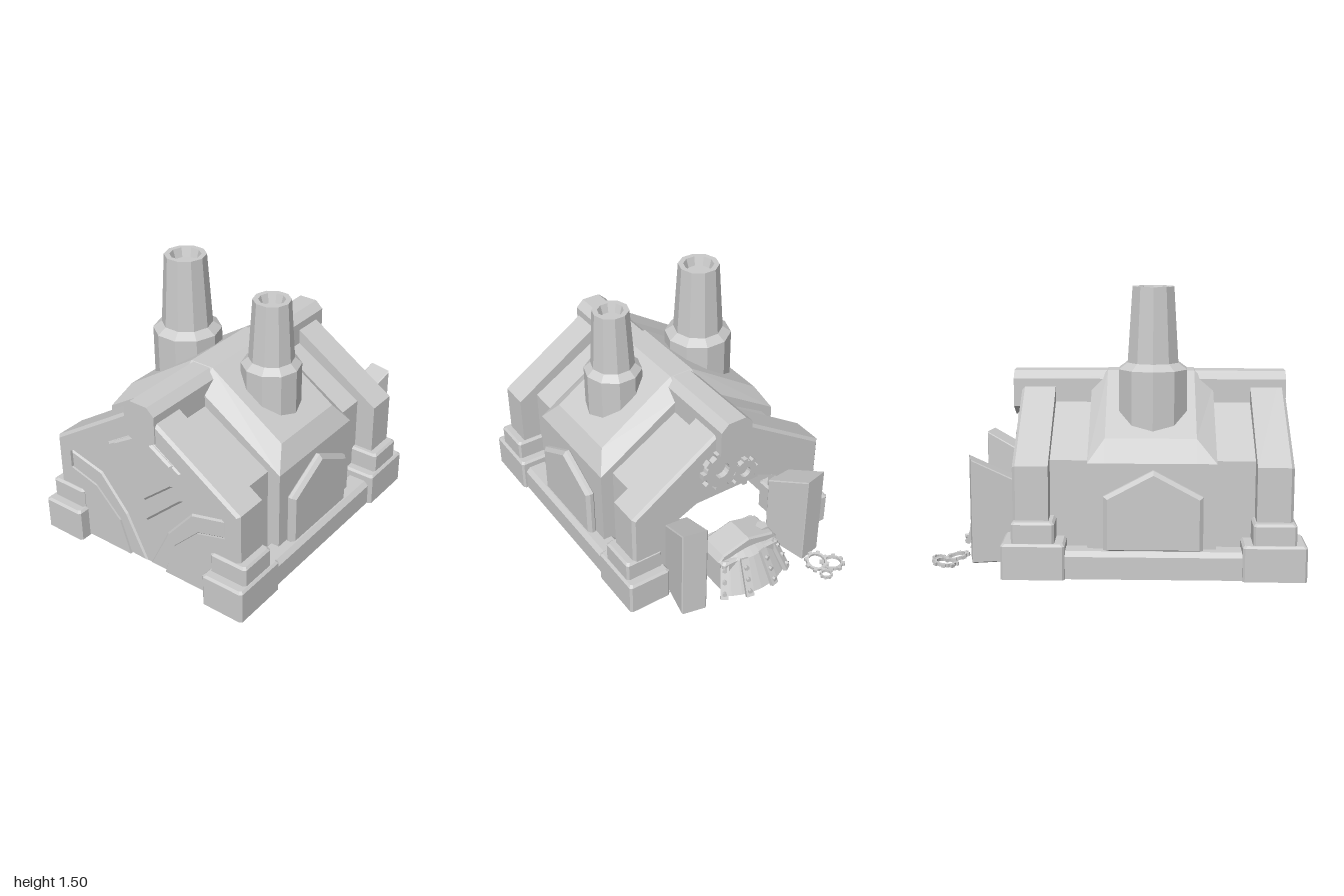
import * as THREE from 'three';

export function createModel() {
  const root = new THREE.Group();
  const mat = new THREE.MeshStandardMaterial({ color: 0xcccccc, flatShading: true, side: THREE.DoubleSide });

  const add = (name, geo, x = 0, y = 0, z = 0, parent = root) => {
    const m = new THREE.Mesh(geo, mat);
    m.name = name;
    m.position.set(x, y, z);
    parent.add(m);
    return m;
  };
  const vecs = pts => pts.map(p => new THREE.Vector2(p[0], p[1]));
  // right half of a symmetric outline, listed bottom to top, closed by its mirror
  const mirrored = half => [...half, ...half.filter(p => p[0] !== 0).reverse().map(([x, y]) => [-x, y])];
  // outline of an arch that is open at the bottom
  const arch = (outer, inner) => [...mirrored(outer), ...mirrored(inner).reverse()];
  // plate between two z values with chamfered edges
  const plate = (pts, z0, z1, bevel = 0) => new THREE.ExtrudeGeometry(new THREE.Shape(vecs(pts)), {
    depth: z1 - z0 - 2 * bevel, bevelEnabled: bevel > 0, bevelSize: bevel,
    bevelThickness: bevel, bevelOffset: -bevel, bevelSegments: 1,
  }).translate(0, 0, z0 + bevel);
  // skin over equal-length cross-sections stacked towards +z
  const loft = (sections, closed, capFirst, capLast) => {
    const n = sections[0].pts.length, pos = [], idx = [];
    sections.forEach(s => s.pts.forEach(([x, y]) => pos.push(x, y, s.z)));
    for (let i = 0; i < sections.length - 1; i++) {
      for (let j = 0; j < (closed ? n : n - 1); j++) {
        const a = i * n + j, b = i * n + (j + 1) % n;
        idx.push(a, b, a + n, b, b + n, a + n);
      }
    }
    const last = (sections.length - 1) * n;
    for (let j = 1; j < n - 1; j++) {
      if (capFirst) idx.push(0, j + 1, j);
      if (capLast) idx.push(last, last + j, last + j + 1);
    }
    const g = new THREE.BufferGeometry();
    g.setAttribute('position', new THREE.Float32BufferAttribute(pos, 3));
    g.setIndex(idx);
    g.computeVertexNormals();
    return g;
  };
  // upright block with chamfered edges and an open underside
  const block = (w, h, d, c = 0.012) => {
    const rect = inset => {
      const x = w / 2 - inset, y = d / 2 - inset;
      return [[x, c - y], [x, y - c], [x - c, y], [c - x, y], [-x, y - c], [-x, c - y], [c - x, -y], [x - c, -y]];
    };
    return loft([{ z: 0, pts: rect(0) }, { z: h - c, pts: rect(0) }, { z: h, pts: rect(c) }], true, false, true)
      .rotateX(-Math.PI / 2);
  };

  // hall: hollow gabled shell, open underneath
  const hallHalf = [[0.51, 0.01], [0.51, 0.6], [0, 0.905]];
  const hall = mirrored(hallHalf);
  add('hall', loft([{ z: -0.34, pts: hall }, { z: 0.74, pts: hall }], false, false, false));

  // hollow gable frames at the two ends: chamfered rim, inner step, outer face
  const gable = [[0.622, 0.01], [0.622, 0.59], [0, 0.995]];
  const inset = [[0.606, 0.01], [0.606, 0.581], [0, 0.976]];
  const recess = [[0.125, 0.01], [0.19, 0.21], [0.35, 0.37], [0.53, 0.42], [0.53, 0.525], [0, 0.87]];
  const doorway = [[0.33, 0.01], [0.33, 0.47], [0, 0.62]];
  const rim = mirrored(gable), rimInset = mirrored(inset);
  add('frontRim', loft([{ z: 0.74, pts: rim }, { z: 0.914, pts: rim }, { z: 0.93, pts: rimInset }], false, false, false));
  add('backRim', loft([{ z: -0.528, pts: rimInset }, { z: -0.512, pts: rim }, { z: -0.34, pts: rim }], false, false, false));
  for (const z of [0.74, -0.34]) {
    add('gableStep', new THREE.ShapeGeometry(new THREE.Shape(vecs(arch(gable, hallHalf)))), 0, 0, z);
  }
  add('frontGable', plate(arch(inset, recess), 0.9, 0.93));
  add('backGable', plate(arch(inset, doorway), -0.528, -0.49));

  // front wall with raised side bands and a layered shield
  add('frontWall', plate(mirrored(recess), 0.898, 0.912));
  const band = [[0.13, 0.01], [0.195, 0.205], [0.355, 0.365], [0.53, 0.415], [0.53, 0.525],
    [0.31, 0.47], [0.14, 0.27], [0.012, 0.01]];
  for (const s of [1, -1]) add('frontBand', plate(band.map(([x, y]) => [s * x, y]), 0.9, 0.922, 0.01));
  add('frontShield', plate(mirrored([[0, 0.285], [0.25, 0.515], [0.25, 0.69], [0, 0.85]]), 0.89, 0.924, 0.014));
  add('frontShieldInner', plate(mirrored([[0, 0.425], [0.195, 0.59], [0.195, 0.72], [0, 0.84]]), 0.905, 0.935, 0.012));

  // ridge beam
  add('ridgeBeam', plate(
    mirrored([[0, 0.76], [0.1, 0.82], [0.1, 0.975], [0.055, 1.017]]), -0.575, 0.937));

  // cross block with chamfered shoulders that carries the chimneys
  const low = mirrored([[0.585, 0.1], [0.585, 0.6], [0.585, 0.6], [0.07, 0.93]]);
  const high = mirrored([[0.585, 0.1], [0.585, 0.6], [0.52, 0.72], [0.07, 1.02]]);
  add('chimneyBlock', loft([
    { z: -0.14, pts: low }, { z: -0.05, pts: high }, { z: 0.43, pts: high }, { z: 0.535, pts: low },
  ], false, true, true));

  // side panels, rails and stepped corner feet
  const panel = [[-0.26, 0.13], [0.26, 0.13], [0.26, 0.43], [0, 0.57], [-0.26, 0.43]];
  for (const s of [1, -1]) {
    const p = add('sidePanel', plate(panel, 0, 0.06, 0.02), s * 0.572, 0, 0.205);
    p.rotation.y = s * Math.PI / 2;
    add('sideRail', block(0.15, 0.145, 1.1, 0.025), s * 0.587, 0, 0.2);
    for (const z of [0.833, -0.42]) {
      add('cornerFoot', block(0.255, 0.19, 0.334), s * 0.5575, 0, z);
      add('cornerPlinth', block(0.225, 0.115, 0.225), s * 0.5565, 0.187, z);
    }
  }

  // ten-sided chimneys with hollow tops
  const chimney = (name, x, rBase, yBase, rLow, rTop, yTop) => {
    const profile = [[rBase, 0.6], [rBase, yBase], [rLow, yBase + 0.035], [rTop, yTop],
      [rTop - 0.03, yTop], [rTop - 0.045, yTop - 0.05], [0, yTop - 0.05]];
    add(name, new THREE.LatheGeometry(vecs(profile), 10).rotateY(Math.PI / 10), x, 0, 0.2);
  };
  chimney('largeChimney', -0.285, 0.191, 1.06, 0.142, 0.116, 1.497);
  chimney('smallChimney', 0.287, 0.163, 1.02, 0.124, 0.102, 1.393);

  // open back doors
  const door = [[-0.02, 0.02], [0.255, 0.02], [0.255, 0.59], [-0.02, 0.45]];
  for (const s of [1, -1]) {
    const d = add('backDoor', plate(door, -0.072, 0.072, 0.006), s * 0.348, 0, -0.53);
    d.rotation.y = s > 0 ? 1.357 : Math.PI - 1.357;
  }

  // toothed rings
  const gear = (name, r, hole, depth, teeth, x, y, z) => {
    const g = new THREE.Group();
    g.name = name;
    g.position.set(x, y, z);
    const ring = new THREE.Shape().absarc(0, 0, r * 0.86, 0, Math.PI * 2);
    ring.holes.push(new THREE.Path().absarc(0, 0, r * hole, 0, Math.PI * 2, true));
    add('ring', new THREE.ExtrudeGeometry(ring, { depth, bevelEnabled: false, curveSegments: 8 }), 0, 0, -depth / 2, g);
    for (let i = 0; i < teeth; i++) {
      const a = i / teeth * Math.PI * 2;
      const t = add('tooth', new THREE.BoxGeometry(r * 0.24, r * 0.3, depth),
        Math.cos(a) * r * 0.9, Math.sin(a) * r * 0.9, 0, g);
      t.rotation.z = a;
    }
    root.add(g);
    return g;
  };
  gear('largeWallGear', 0.12, 0.4, 0.035, 9, 0.08, 0.71, -0.545);
  gear('smallWallGear', 0.085, 0.4, 0.03, 8, -0.08, 0.625, -0.545);
  [[-0.46, 0.022, -0.915, 0.07, 0.12], [-0.385, 0.032, -0.865, 0.07, -0.2], [-0.375, 0.02, -0.963, 0.037, 0.05]]
    .forEach(([x, y, z, r, tilt]) => {
      gear('fallenGear', r, 0.68, 0.018, 8, x, y, z).rotation.x = Math.PI / 2 + tilt;
    });

  // machine in the doorway: body, peaked lid, flared apron with studded straps
  const machine = new THREE.Group();
  machine.name = 'machine';
  root.add(machine);
  add('machineBody', block(0.38, 0.2, 0.26), 0, 0.02, -0.62, machine);
  const lid = [[-0.2, 0], [0.2, 0], [0.17, 0.04], [0, 0.085], [-0.17, 0.04]];
  add('machineLid', plate(lid, -0.09, 0.09, 0.01), 0, 0.215, -0.63, machine);
  const spread = 0.66;
  add('apron', new THREE.CylinderGeometry(0.28, 0.37, 0.18, 8, 1, true, Math.PI - spread, spread * 2), 0, 0.12, -0.485, machine);
  add('apronTop', new THREE.CylinderGeometry(0.2, 0.285, 0.05, 8, 1, true, Math.PI - spread, spread * 2), 0, 0.235, -0.485, machine);
  for (const a of [-0.6, -0.22, 0.22, 0.6]) {
    const strap = new THREE.Group();
    strap.name = 'strap';
    strap.position.set(0, 0.12, -0.485);
    strap.rotation.y = a;
    machine.add(strap);
    add('strapBar', new THREE.BoxGeometry(0.045, 0.22, 0.025), 0, 0, -0.335, strap).rotation.x = 0.464;
    for (const k of [-1, 0, 1]) {
      const stud = new THREE.CylinderGeometry(0.012, 0.014, 0.02, 6).rotateX(Math.PI / 2);
      add('stud', stud, 0, k * 0.06, -0.352 + k * 0.03, strap);
    }
  }
  add('machineBadge', new THREE.CylinderGeometry(0.035, 0.038, 0.02, 5), -0.14, 0.265, -0.65, machine);
  return root;
}
